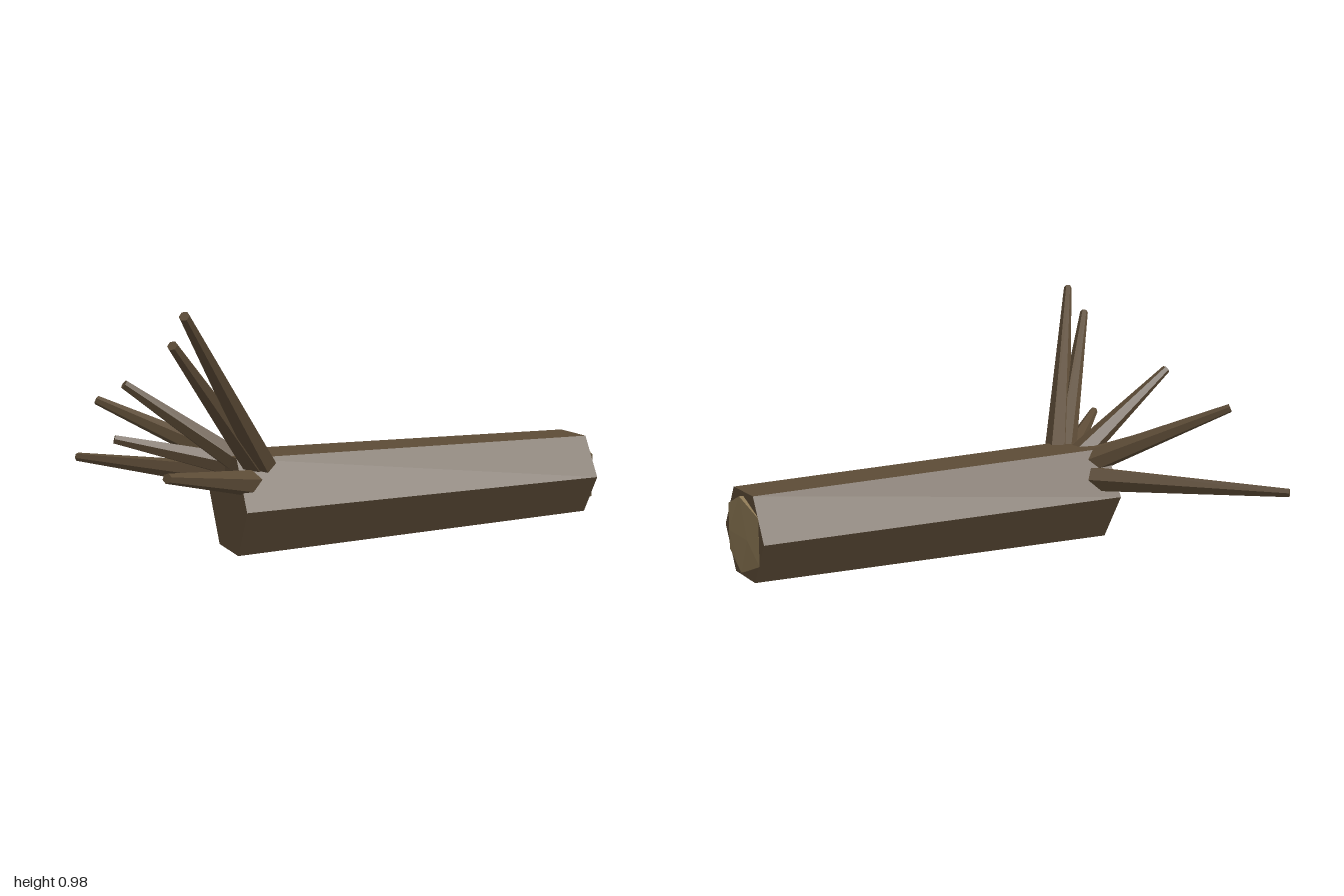
import * as THREE from 'three';

const bark = new THREE.MeshStandardMaterial({ color: 0x5c4b36, flatShading: true });
bark.name = 'bark';
const cutWood = new THREE.MeshStandardMaterial({ color: 0x8c7854, flatShading: true });
cutWood.name = 'cut wood';

// Tapered six-sided limb running from a to b
function limb(name, a, b, rA, rB) {
  const start = new THREE.Vector3(...a), end = new THREE.Vector3(...b);
  const dir = end.clone().sub(start);
  const mesh = new THREE.Mesh(new THREE.CylinderGeometry(rB, rA, dir.length(), 6), bark);
  mesh.name = name;
  mesh.position.copy(start).add(end).multiplyScalar(0.5);
  mesh.quaternion.setFromUnitVectors(new THREE.Vector3(0, 1, 0), dir.normalize());
  return mesh;
}

export function createModel() {
  const log = new THREE.Group();
  log.name = 'uprootedLog';

  // Trunk lying along x, thicker at the root end
  log.add(limb('trunk', [-0.59, 0.188, 0.008], [0.972, 0.193, 0.008], 0.216, 0.187));

  // Pale sawn face: a flattened icosahedron set in the end
  const face = new THREE.Mesh(new THREE.IcosahedronGeometry(0.17, 0), cutWood);
  face.name = 'sawnFace';
  face.scale.x = 0.16;
  face.position.set(0.974, 0.194, 0.008);
  log.add(face);

  // Bare roots fanning out behind the trunk: base, tip
  const roots = new THREE.Group();
  roots.name = 'roots';
  [
    [[-0.47, 0.33, 0.085], [-0.985, 0.965, 0.76]],
    [[-0.49, 0.32, 0.07], [-0.985, 0.86, 0.625]],
    [[-0.50, 0.31, 0.01], [-0.985, 0.665, 0.01]],
    [[-0.50, 0.31, -0.07], [-0.985, 0.555, -0.41]],
    [[-0.50, 0.27, 0.09], [-0.985, 0.405, 0.535]],
    [[-0.50, 0.31, -0.04], [-0.99, 0.44, -0.13]],
    [[-0.50, 0.26, -0.13], [-0.985, 0.27, -0.77]],
  ].forEach(([base, tip], i) => roots.add(limb('root' + (i + 1), base, tip, 0.054, 0.018)));
  log.add(roots);

  return log;
}
